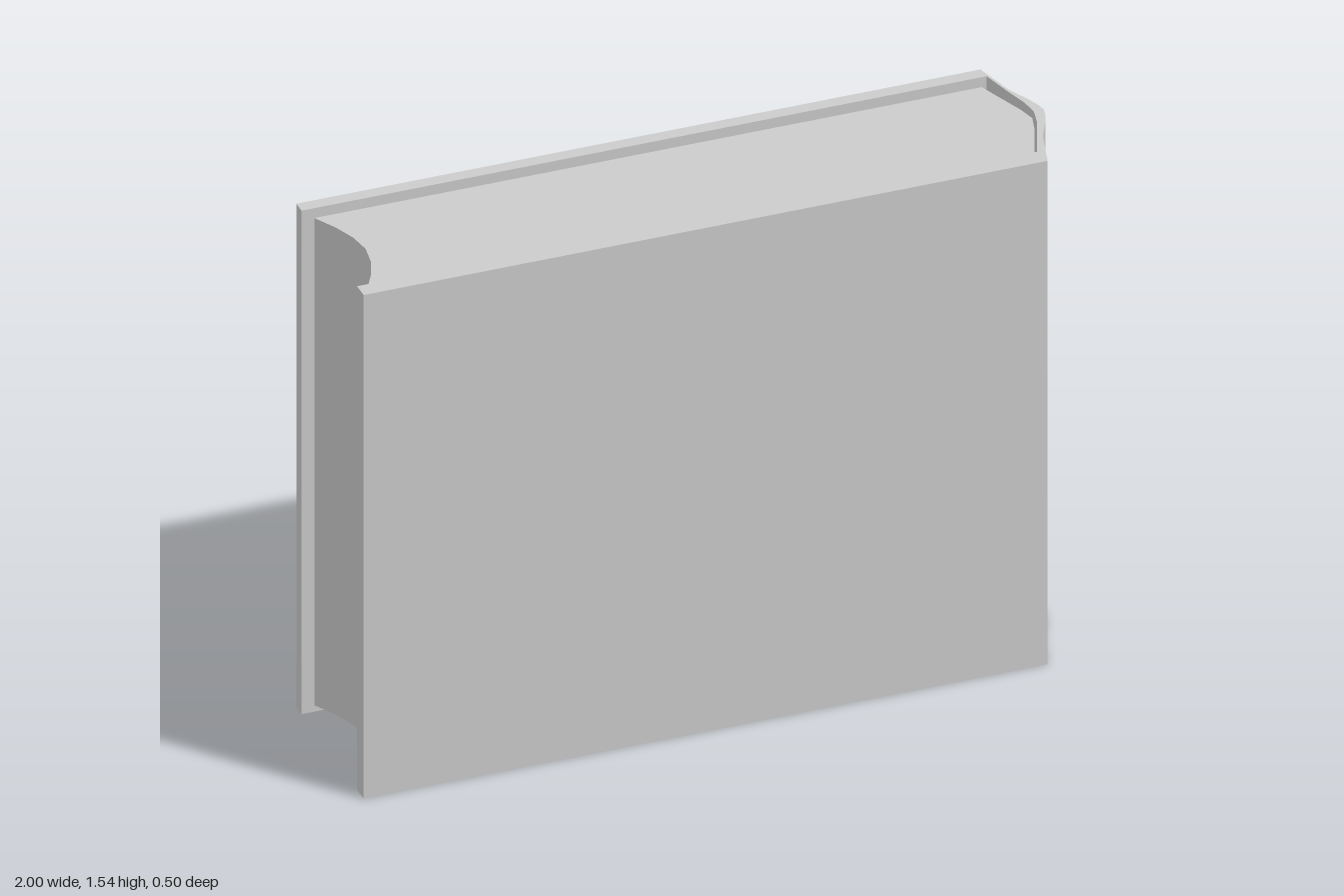
import * as THREE from 'three';

const HEIGHT = 1.54;
const material = new THREE.MeshStandardMaterial({ color: 0xcccccc, flatShading: true });

// Extrude an outline given as [x, z] points upward from y0 to y1
function prism(name, outline, y0, y1) {
  const shape = new THREE.Shape(outline.map(([x, z]) => new THREE.Vector2(x, -z)));
  const geometry = new THREE.ExtrudeGeometry(shape, { depth: y1 - y0, bevelEnabled: false });
  geometry.rotateX(-Math.PI / 2);
  geometry.translate(0, y0, 0);
  const mesh = new THREE.Mesh(geometry, material);
  mesh.name = name;
  return mesh;
}

// Continue a half profile (ending at z = 0) with its mirror image
const mirrored = (half) => [...half, ...half.slice(0, -1).reverse().map(([x, z]) => [x, -z])];

export function createModel() {
  const book = new THREE.Group();
  book.name = 'book';

  // Cover: two boards joined by a ridged spine, open at the fore edge
  const spineOuter = mirrored([[0.917, 0.248], [0.95, 0.125], [0.982, 0.06], [0.995, 0.025], [1, 0]]);
  const spineInner = [
    [0.92, -0.21], [0.945, -0.115], [0.965, -0.05], [0.972, 0],
    [0.962, 0.05], [0.937, 0.115], [0.907, 0.195],
  ];
  book.add(prism('cover', [
    [-1, 0.248], ...spineOuter, [-1, -0.248],
    [-1, -0.21], ...spineInner, [-1, 0.2],
  ], 0, HEIGHT));

  // Page block: rounded back, hollow fore edge, slightly shorter than the cover
  const pagesBack = mirrored([[0.9, 0.194], [0.93, 0.115], [0.955, 0.05], [0.968, 0]]);
  const foreEdge = mirrored([[-0.97, 0.194], [-0.935, 0.13], [-0.91, 0.065], [-0.9, 0]]);
  book.add(prism('pages', [...pagesBack, ...foreEdge.reverse()], 0.03, HEIGHT - 0.02));

  return book;
}
